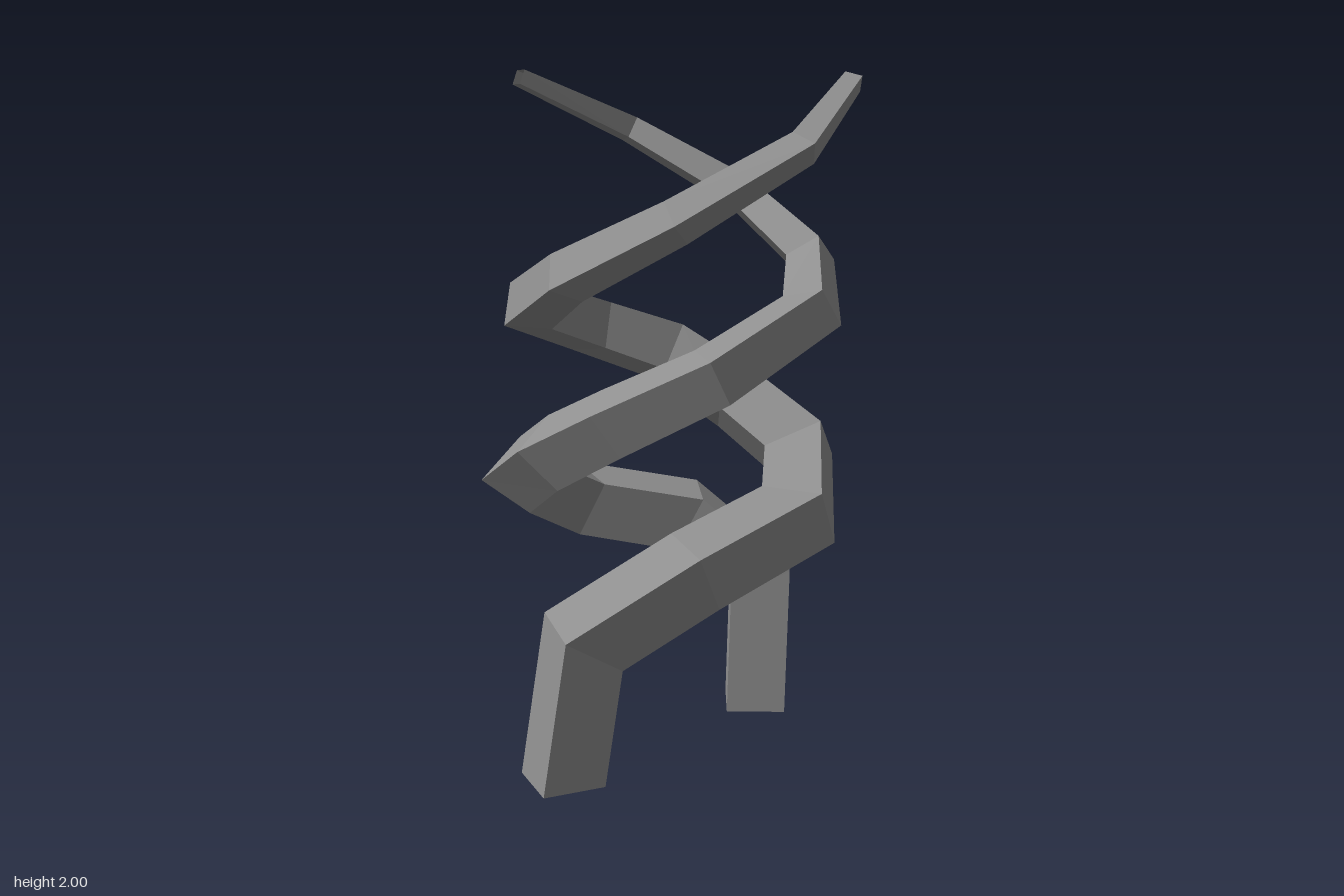
import * as THREE from 'three';

// Centre lines, from the foot of each strand to its tip
const FRONT_PATH = [
  [-0.26, 0, 0.345], [-0.2, 0.42, 0.325], [0.11, 0.62, 0.25], [0.38, 0.72, -0.02],
  [0.36, 0.85, -0.275], [0.15, 0.98, -0.39], [-0.07, 1.12, -0.4], [-0.28, 1.22, -0.26],
  [-0.39, 1.34, 0.08], [-0.24, 1.46, 0.3], [0.07, 1.625, 0.365], [0.395, 1.815, 0.24], [0.505, 1.97, -0.12],
];
const BACK_PATH = [
  [0.228, 0, -0.322], [0.237, 0.42, -0.335], [0.01, 0.62, -0.3], [-0.31, 0.7, -0.17],
  [-0.415, 0.84, 0.09], [-0.29, 0.96, 0.28], [-0.1, 1.08, 0.4], [0.17, 1.21, 0.37],
  [0.42, 1.36, 0.15], [0.395, 1.47, -0.11], [0.16, 1.63, -0.335], [-0.175, 1.81, -0.365], [-0.46, 1.975, -0.12],
];

// Hollow square bar with mitred bends, tapering to an open tip.
// cornerAngle: compass angle of one foot corner, in degrees from +z towards +x
function strandGeometry(path, footRadius, cornerAngle) {
  const pts = path.map((p) => new THREE.Vector3(...p));
  const last = pts.length - 1;
  const dirs = pts.slice(1).map((p, i) => p.clone().sub(pts[i]).normalize());
  const radiusAt = (i) => footRadius - 0.097 * (i / last) ** 2;

  // Square at the foot, then carried along each segment to the next mitre plane
  let offsets = [0, 1, 2, 3].map((k) => {
    const a = THREE.MathUtils.degToRad(cornerAngle + 90 * k);
    return new THREE.Vector3(Math.sin(a), 0, Math.cos(a)).multiplyScalar(footRadius);
  });
  const rings = [offsets.map((o) => o.clone().add(pts[0]))];
  for (let i = 1; i <= last; i++) {
    const dir = dirs[i - 1];
    const mitre = dir.clone().add(dirs[Math.min(i, last - 1)]).normalize();
    const taper = radiusAt(i) / radiusAt(i - 1);
    offsets = offsets.map((o) =>
      o.clone().addScaledVector(dir, -o.dot(mitre) / dir.dot(mitre)).multiplyScalar(taper));
    rings.push(offsets.map((o) => o.clone().add(pts[i])));
  }

  // Four sides per segment
  const pos = [];
  for (let i = 0; i < last; i++) {
    for (let k = 0; k < 4; k++) {
      const n = (k + 1) % 4;
      const [a, b, c, d] = [rings[i][k], rings[i][n], rings[i + 1][n], rings[i + 1][k]];
      [a, b, c, a, c, d].forEach((v) => pos.push(v.x, v.y, v.z));
    }
  }
  const geometry = new THREE.BufferGeometry();
  geometry.setAttribute('position', new THREE.Float32BufferAttribute(pos, 3));
  geometry.computeVertexNormals();
  return geometry;
}

export function createModel() {
  const model = new THREE.Group();
  model.name = 'twistedStrands';
  const material = new THREE.MeshStandardMaterial({ color: 0x8f8f8f, flatShading: true, side: THREE.DoubleSide });
  const add = (name, geometry) => {
    const mesh = new THREE.Mesh(geometry, material);
    mesh.name = name;
    model.add(mesh);
  };
  add('frontStrand', strandGeometry(FRONT_PATH, 0.133, -13));
  add('backStrand', strandGeometry(BACK_PATH, 0.128, 143));
  return model;
}
